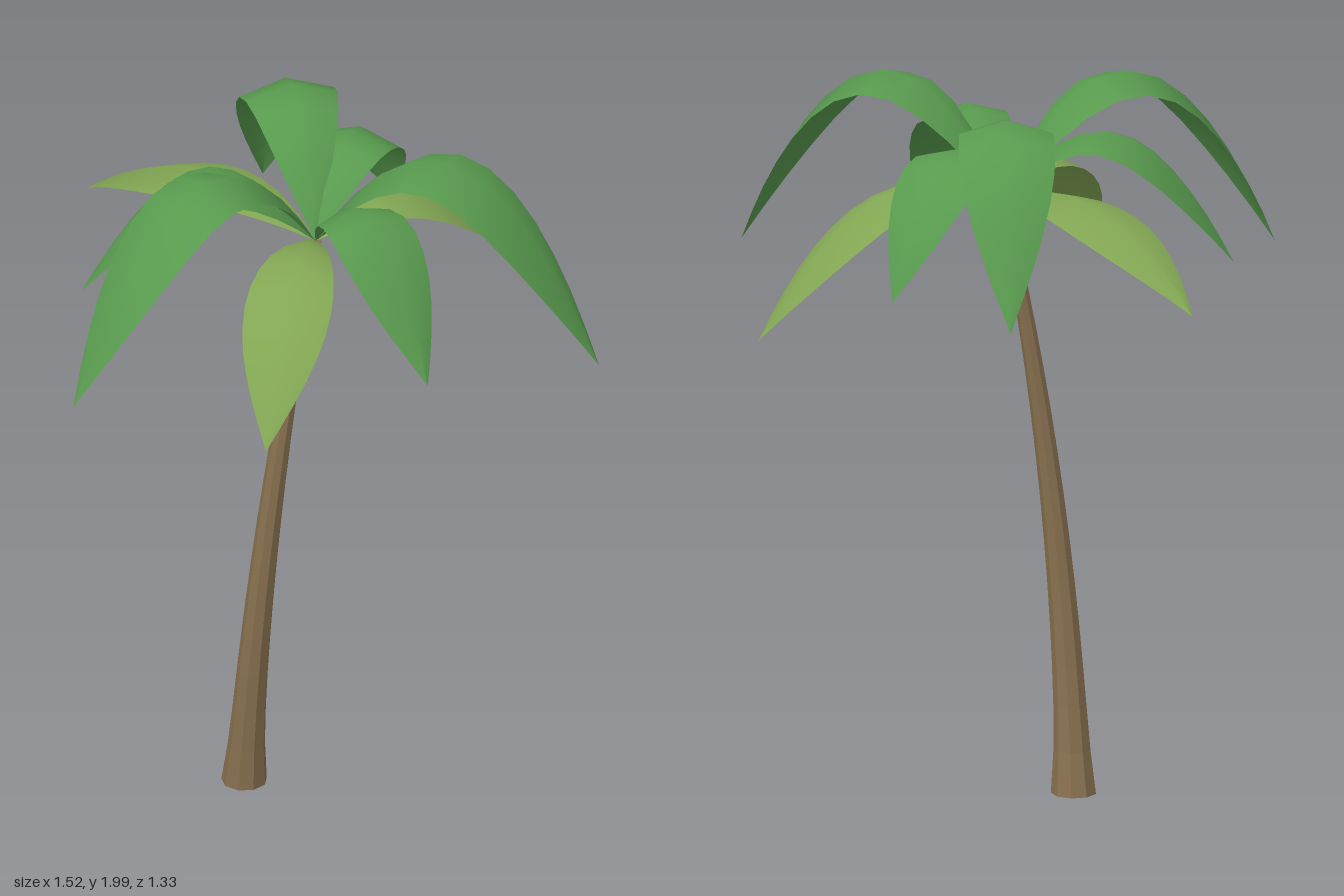
import * as THREE from 'three';

const bark = new THREE.MeshStandardMaterial({ color: 0x87704f, flatShading: true });
bark.name = 'bark';
const green = new THREE.MeshStandardMaterial({ color: 0x589a4e, side: THREE.DoubleSide });
green.name = 'leafGreen';
const olive = new THREE.MeshStandardMaterial({ color: 0x82a653, side: THREE.DoubleSide });
olive.name = 'leafOlive';

const CROWN = new THREE.Vector3(0.05, 1.68, 0.09);

// Leaning, tapered trunk with a flared foot
function makeTrunk() {
  const g = new THREE.CylinderGeometry(1, 1, 1, 9, 14);
  const p = g.attributes.position;
  for (let i = 0; i < p.count; i++) {
    const u = p.getY(i) + 0.5;
    const r = 0.017 + 0.033 * (1 - u) + 0.013 * (1 - u) ** 16;
    p.setXYZ(i,
      p.getX(i) * r - 0.135 + 0.185 * u * u,
      u * CROWN.y,
      p.getZ(i) * r + 0.0275 + 0.199 * u - 0.1365 * u * u);
  }
  g.computeVertexNormals();
  const mesh = new THREE.Mesh(g, bark);
  mesh.name = 'trunk';
  return mesh;
}

// Arched frond, pointed at both ends, folded down either side of its midrib
function makeFrond(tip, peak, width, material) {
  const N = 12, fold = 0.3;
  const end = new THREE.Vector3(...tip);
  const rise = peak - CROWN.y, drop = CROWN.y - end.y;
  const control = CROWN.clone().lerp(end, 0.5);
  control.y = CROWN.y + rise + Math.sqrt(rise * rise + rise * drop);
  const rib = new THREE.QuadraticBezierCurve3(CROWN, control, end);
  const side = end.clone().sub(CROWN).setY(0).normalize().cross(new THREE.Vector3(0, 1, 0));

  const positions = [], index = [];
  for (let i = 0; i <= N; i++) {
    const t = i / N;
    const half = 0.5 * width * Math.sin(Math.PI * t);
    const c = rib.getPointAt(t);
    const normal = side.clone().cross(rib.getTangentAt(t));
    for (const j of [-1, 0, 1]) {
      const v = c.clone().addScaledVector(side, j * half)
        .addScaledVector(normal, -Math.abs(j) * fold * half);
      positions.push(v.x, v.y, v.z);
    }
  }
  for (let i = 0; i < N; i++) {
    for (let j = 0; j < 2; j++) {
      const a = i * 3 + j, b = a + 1, c = a + 3, d = a + 4;
      if (i > 0) index.push(a, b, c);
      if (i < N - 1) index.push(b, d, c);
      if (i === 0) index.push(a, d, c);
    }
  }
  const g = new THREE.BufferGeometry();
  g.setAttribute('position', new THREE.Float32BufferAttribute(positions, 3));
  g.setIndex([...index]);
  g.computeVertexNormals();
  return new THREE.Mesh(g, material);
}

// Three tiers of fronds: tips, arch height, blade width
const TIERS = [
  { name: 'upperFrond', peak: 1.995, width: 0.265, material: green,
    tips: [[-0.765, 1.45, 0.30], [0.645, 1.45, 0.66], [0.195, 1.5, -0.60]] },
  { name: 'middleFrond', peak: 1.885, width: 0.245, material: green,
    tips: [[0.46, 1.53, -0.325], [-0.54, 1.53, -0.155], [0.135, 1.5, 0.66]] },
  { name: 'lowerFrond', peak: 1.755, width: 0.24, material: olive,
    tips: [[-0.33, 1.38, 0.62], [0.76, 1.355, -0.01], [-0.30, 1.535, -0.665]] },
];

export function createModel() {
  const model = new THREE.Group();
  model.name = 'palmTree';
  model.add(makeTrunk());
  const crown = new THREE.Group();
  crown.name = 'crown';
  for (const tier of TIERS) {
    tier.tips.forEach((tip, i) => {
      const frond = makeFrond(tip, tier.peak, tier.width, tier.material);
      frond.name = tier.name + (i + 1);
      crown.add(frond);
    });
  }
  model.add(crown);
  return model;
}
